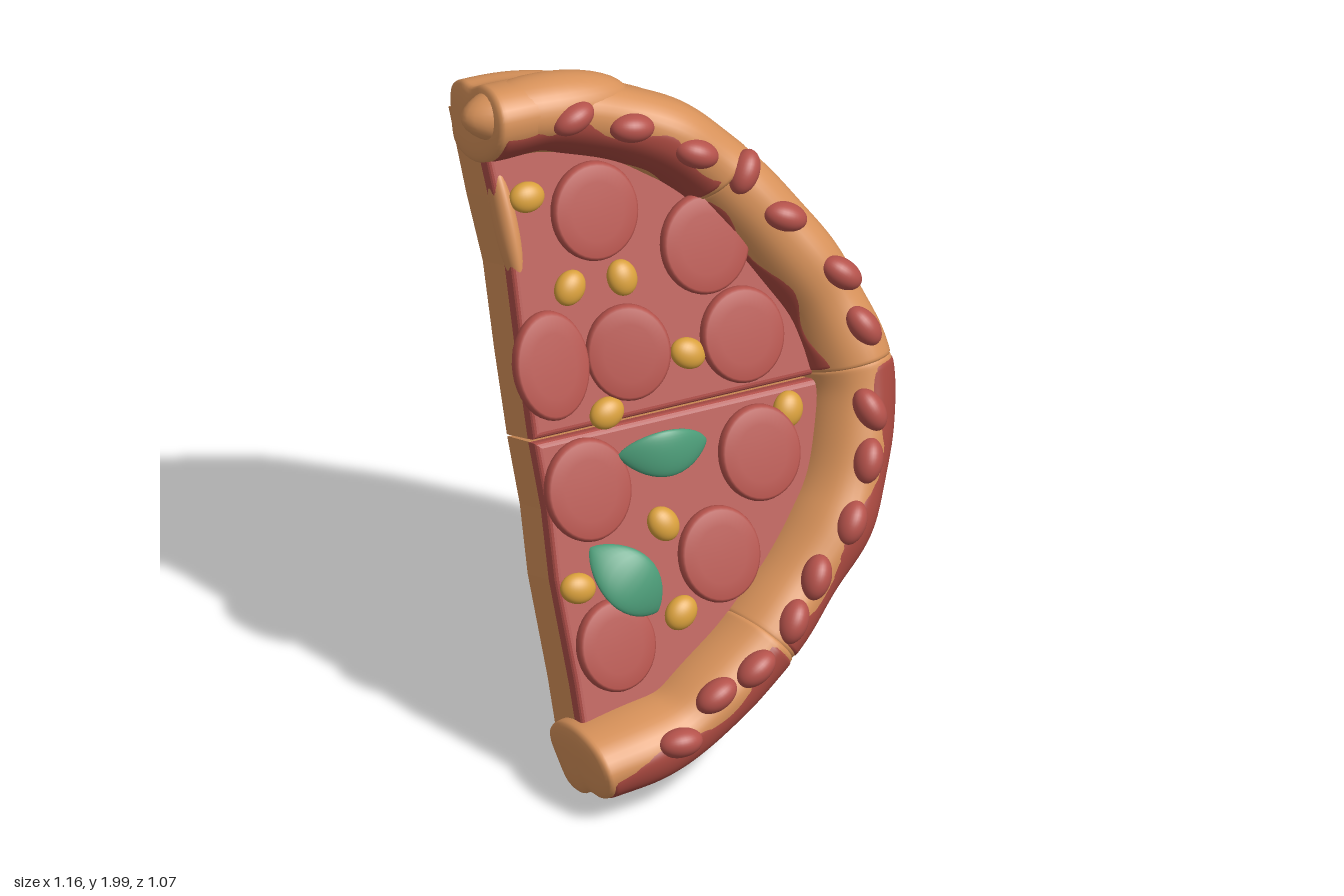
import * as THREE from 'three';

const TILT = 0.38, COS = Math.cos(TILT), SIN = Math.sin(TILT);
const mat = (color, side = THREE.FrontSide) => new THREE.MeshStandardMaterial({ color, side });
const V2 = (a) => new THREE.Vector2(a[0], a[1]);
const V3 = (a) => new THREE.Vector3(a[0], a[1], 0);

// Outer edge of the half pizza, top to bottom, in its own plane
const rim = new THREE.CatmullRomCurve3([
  [-0.52, 1.03], [-0.3, 1.015], [0, 0.905], [0.2, 0.75], [0.4, 0.48], [0.52, 0.25], [0.575, 0],
  [0.55, -0.17], [0.45, -0.42], [0.3, -0.6], [0.12, -0.77], [-0.05, -0.89], [-0.2, -0.975], [-0.5, -1.035],
].map(V3));

// Crust section: distance inward from the rim, height; back, outside, front, inside
const section = new THREE.CatmullRomCurve3([
  [0.1, -0.177], [0.025, -0.157], [0, -0.08], [0.012, -0.01], [0, 0.06], [0.02, 0.125],
  [0.08, 0.16], [0.15, 0.14], [0.2, 0.08], [0.225, 0], [0.22, -0.1], [0.18, -0.174],
].map(V3), true);

function rimPoint(u, d, z) {
  const p = rim.getPointAt(u), t = rim.getTangentAt(u);
  return new THREE.Vector3(p.x + t.y * d, p.y - t.x * d, z);
}

// Sweeps the section from u0 to u1, its front raised by the factor puff. With a
// band [p0, p1] only that strip is made, slightly proud, with wavy borders.
function sweep(u0, u1, puff, band) {
  const rows = 56, cols = 48, pos = [], idx = [];
  for (let i = 0; i <= rows; i++) {
    const k = (1 - Math.cos(Math.PI * i / rows)) / 2;
    const u = u0 + (u1 - u0) * k;
    const e = Math.min(1, Math.min(k, 1 - k) * (u1 - u0) * 3.2 / 0.026);
    const end = Math.pow(Math.max(0, 1 - Math.pow(1 - e, 3)), 1 / 3);
    const lump = 1 + 0.02 * Math.sin(41 * u) + 0.015 * Math.sin(67 * u + 1);
    for (let j = 0; j <= cols; j++) {
      const f = j / cols;
      let p = f, s = end * lump;
      if (band) {
        const a = band[0] + 0.03 * Math.sin(60 * u), b = band[1] + 0.035 * Math.sin(47 * u + 2);
        p = a + (b - a) * f;
        s *= 0.97 + 0.055 * Math.pow(Math.sin(Math.PI * f), 0.4);
      }
      const q = section.getPoint(p % 1);
      const h = q.y > 0 ? q.y * puff : q.y;
      const v = rimPoint(u, 0.12 + (q.x - 0.12) * s, -0.01 + (h + 0.01) * s);
      pos.push(v.x, v.y, v.z);
      if (i < rows && j < cols) {
        const n = i * (cols + 1) + j, m = n + cols + 1;
        idx.push(n, n + 1, m, n + 1, m + 1, m);
      }
    }
  }
  const g = new THREE.BufferGeometry();
  g.setAttribute('position', new THREE.Float32BufferAttribute(pos, 3));
  g.setIndex(idx);
  g.computeVertexNormals();
  return g;
}

// Flat slice layer between the cut edge, the crack and the crust
function layer(upper, inset, z0, z1, bevel, gap) {
  const pts = [];
  for (let i = 0; i <= 80; i++) {
    const p = rimPoint(i / 80, inset, 0);
    if ((upper ? p.y > gap + 0.02 : p.y < -gap - 0.02) && p.x > -0.48) pts.push([p.x, p.y]);
  }
  const edge = upper
    ? [[-0.505, gap], [-0.5, 0.25], [-0.49, 0.5], [-0.505, 0.7], [-0.515, 1.03 - inset]]
    : [[-0.5, inset - 1.03], [-0.5, -0.7], [-0.51, -0.4], [-0.5, -0.2], [-0.505, -gap]];
  const crack = [0.57 - inset, upper ? gap : -gap];
  const outline = upper ? [...edge, ...pts, crack] : [...edge, crack, ...pts];
  const g = new THREE.ExtrudeGeometry(new THREE.Shape(outline.map(V2)), {
    depth: z1 - z0 - 2 * bevel, bevelSize: bevel, bevelThickness: bevel,
    bevelOffset: -bevel, bevelSegments: 4,
  });
  return g.translate(0, 0, z0 + bevel);
}

// Pointed leaf, bowed forward in the middle
function leafGeometry() {
  const g = new THREE.SphereGeometry(1, 28, 18), p = g.attributes.position;
  for (let i = 0; i < p.count; i++) {
    const x = p.getX(i), k = Math.sqrt(Math.max(0, 1 - x * x));
    p.setXYZ(i, x, p.getY(i) * Math.sqrt(k), p.getZ(i) - 2.2 * x * x);
  }
  g.computeVertexNormals();
  return g;
}

export function createModel() {
  const model = new THREE.Group(), pizza = new THREE.Group();
  pizza.name = 'halfPizza';
  pizza.rotation.x = -TILT;
  pizza.position.y = 1;
  model.add(pizza);

  const dough = mat(0xd8925a), sauce = mat(0xb2504a), sauceSkin = mat(0xa8483f, THREE.DoubleSide);
  const meat = mat(0xb5524b), corn = mat(0xd9a03c), green = mat(0x4c9c78);

  const add = (name, geo, material) => {
    const m = new THREE.Mesh(geo, material);
    m.name = name;
    pizza.add(m);
    return m;
  };
  // Sets a topping at x and upright height y, lifted z off the pizza plane
  const topping = (name, geo, material, x, y, z, scale, deg = 0) => {
    const m = add(name, geo, material);
    m.position.set(x, (y - 1 - SIN * z) / COS, z);
    m.scale.set(...scale);
    m.rotation.z = deg * Math.PI / 180;
    return m;
  };

  // Dough base and sauce of the two slices, the upper leaning back a little more
  for (const upper of [true, false]) {
    const side = upper ? 'upper' : 'lower';
    const base = add(side + 'Base', layer(upper, 0.08, -0.18, 0.01, 0.022, 0.004), dough);
    base.rotation.x = upper ? -0.018 : 0;
    add(side + 'Sauce', layer(upper, 0.17, -0.03, 0.038, 0.018, 0.005), sauce);
  }

  // Crust pieces with their smears of sauce
  const breaks = [0, 0.264, 0.495, 0.785, 1];
  const bands = [[0.55, 0.74], [0.66, 0.76], [0.26, 0.5], [0.26, 0.51]];
  const puffs = [1.15, 1.03, 1.03, 1.1];
  bands.forEach((band, i) => {
    const a = breaks[i] - (i ? 0.005 : 0), b = breaks[i + 1] + (i < 3 ? 0.005 : 0);
    add('crust' + (i + 1), sweep(a, b, puffs[i]), dough);
    add('crustSauce' + (i + 1), sweep(a + 0.004, b - 0.004, puffs[i], band), sauceSkin);
  });
  const ball = new THREE.SphereGeometry(1, 32, 20);
  topping('crustTip', ball, dough, -0.33, 1.895, 0.08, [0.255, 0.1, 0.11], -4);
  topping('doughEdge', ball, dough, -0.475, 1.58, 0.005, [0.032, 0.19, 0.05], 3);

  // Sausage discs
  const disc = new THREE.LatheGeometry([
    [0, 0], [0.96, 0], [1, 0.012], [1, 0.026], [0.97, 0.038], [0.92, 0.042], [0.6, 0.047], [0, 0.047],
  ].map(V2), 40).rotateX(Math.PI / 2);
  // x, height, radii, sideways lean
  [
    [-0.225, 1.578, 0.13, 0.142, 0], [0.085, 1.43, 0.132, 0.145, 0], [-0.43, 1.205, 0.115, 0.157, 0.05],
    [-0.19, 1.195, 0.122, 0.138, -0.2], [0.155, 1.17, 0.125, 0.138, 0], [-0.38, 0.865, 0.13, 0.148, 0],
    [0.15, 0.855, 0.122, 0.138, 0], [-0.02, 0.62, 0.122, 0.138, 0], [-0.37, 0.445, 0.12, 0.133, 0.06],
  ].forEach(([x, y, rx, ry, lean], i) => {
    const m = topping('sausageDisc', disc, meat, x, y, 0.036 + 0.004 * (i % 2), [rx, ry, 1]);
    m.rotation.set(0.03, lean, 0);
  });

  // Corn kernels
  [
    [-0.415, 1.655], [-0.33, 1.395], [-0.17, 1.39], [-0.01, 1.155], [-0.28, 1.05],
    [0.26, 0.95], [-0.165, 0.73], [-0.45, 0.615], [-0.155, 0.49],
  ].forEach(([x, y], i) => topping('cornKernel', ball, corn, x, y, 0.045, [0.053, 0.044, 0.032], i * 50));

  // Red lumps along the crust: x, height, angle
  [
    [-0.29, 1.9, 20], [-0.12, 1.84, -10], [0.06, 1.735, -25], [0.2, 1.65, 60], [0.3, 1.51, -25],
    [0.44, 1.33, -42], [0.48, 1.18, -60], [0.46, 0.96, -70], [0.43, 0.83, 70], [0.35, 0.68, 60],
    [0.22, 0.56, 65], [0.13, 0.46, 60], [-0.01, 0.37, 30], [-0.14, 0.325, 25], [-0.27, 0.225, 0],
  ].forEach(([x, y, deg], i) => {
    const z = i < 3 || i > 11 ? 0.172 : 0.155;
    topping('crustLump', ball, meat, x, y, z, [0.066, 0.042, 0.05], deg);
  });

  // Leaves
  const leaf = leafGeometry();
  topping('leaf', leaf, green, -0.145, 0.95, 0.12, [0.137, 0.07, 0.02], -3).rotation.x = 0.25;
  topping('leaf', leaf, green, -0.315, 0.635, 0.105, [0.14, 0.085, 0.02], -52);

  return model;
}
